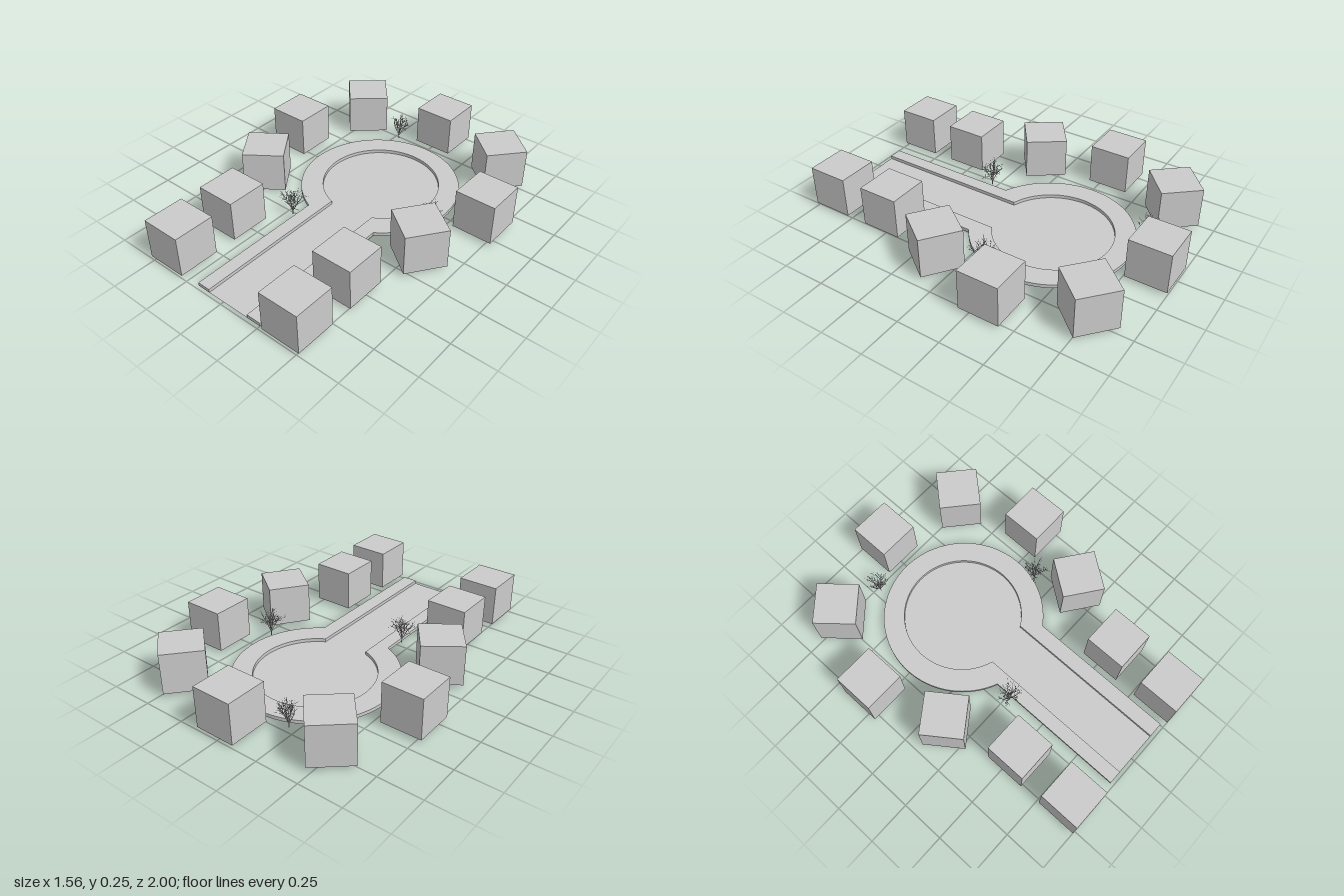
import * as THREE from 'three';
import { mergeGeometries } from 'three/addons/utils/BufferGeometryUtils.js';

const KERB = 0.02; // height of the pavement above the road
const HOUSE = 0.235; // side of each cubic house

// Keyhole outline as [x, z] points: straight street opening into a round turning circle
function keyhole(cx, cz, r, xl, xr, zEnd) {
  const start = Math.asin((xr - cx) / r);
  const end = Math.PI * 2 + Math.asin((xl - cx) / r);
  const pts = [[xr, zEnd]];
  for (let i = 0; i <= 72; i++) {
    const t = start + ((end - start) * i) / 72;
    pts.push([cx + r * Math.sin(t), cz + r * Math.cos(t)]);
  }
  pts.push([xl, zEnd]);
  return pts;
}

// Flat sheet filling an outline at height y
function sheet(pts, y) {
  const shape = new THREE.Shape(pts.map(([x, z]) => new THREE.Vector2(x, -z)));
  return new THREE.ShapeGeometry(shape).rotateX(-Math.PI / 2).translate(0, y, 0);
}

// Vertical band following a closed outline
function band(pts, y0, y1) {
  const pos = [];
  pts.forEach(([ax, az], i) => {
    const [bx, bz] = pts[(i + 1) % pts.length];
    pos.push(ax, y0, az, bx, y0, bz, bx, y1, bz, ax, y0, az, bx, y1, bz, ax, y1, az);
  });
  const g = new THREE.BufferGeometry();
  g.setAttribute('position', new THREE.Float32BufferAttribute(pos, 3));
  g.computeVertexNormals();
  return g;
}

function seeded(seed) {
  return () => {
    seed = (seed * 16807) % 2147483647;
    return seed / 2147483647;
  };
}

// Thin tapered twig between two points
function twig(a, b, r) {
  const dir = b.clone().sub(a);
  const g = new THREE.CylinderGeometry(r * 0.6, r, dir.length(), 3, 1);
  g.applyQuaternion(new THREE.Quaternion().setFromUnitVectors(new THREE.Vector3(0, 1, 0), dir.normalize()));
  const mid = a.clone().add(b).multiplyScalar(0.5);
  return g.translate(mid.x, mid.y, mid.z);
}

// Bare shrub: boughs fan out from one stem and fork twice
function shrubGeometry(seed) {
  const rnd = seeded(seed);
  const parts = [];
  const grow = (from, dir, len, r, level) => {
    const to = from.clone().addScaledVector(dir, len);
    parts.push(twig(from, to, r));
    if (level === 0) return;
    const forks = level === 2 ? 5 : 4;
    for (let i = 0; i < forks; i++) {
      const spread = new THREE.Vector3(rnd() - 0.5, rnd() - 0.42, rnd() - 0.5).multiplyScalar(1.7);
      const at = from.clone().lerp(to, 0.45 + 0.55 * ((i + 1) / forks));
      grow(at, dir.clone().add(spread).normalize(), len * (0.4 + 0.25 * rnd()), r * 0.6, level - 1);
    }
  };
  const base = new THREE.Vector3(0, 0.035, 0);
  parts.push(twig(new THREE.Vector3(0, 0.012, 0), base, 0.004));
  for (let i = 0; i < 8; i++) {
    const a = (i / 8) * Math.PI * 2 + rnd() * 0.5;
    const lean = i % 2 ? 0.5 : 0.22;
    const dir = new THREE.Vector3(Math.cos(a) * lean, 1, Math.sin(a) * lean).normalize();
    grow(base, dir, 0.07 + 0.015 * rnd(), 0.0025, 2);
  }
  return mergeGeometries(parts);
}

export function createModel() {
  const group = new THREE.Group();
  const grey = new THREE.MeshStandardMaterial({ color: 0xcccccc, side: THREE.DoubleSide });
  grey.name = 'plain grey';
  const add = (name, geometry) => {
    const mesh = new THREE.Mesh(geometry, grey);
    mesh.name = name;
    group.add(mesh);
    return mesh;
  };

  // Street with turning circle, and the raised pavement around it
  const outer = keyhole(-0.003, -0.26, 0.459, -0.18, 0.25, 0.98);
  const inner = keyhole(-0.002, -0.267, 0.337, -0.103, 0.163, 0.98);
  const ring = [...outer, ...inner.slice().reverse()];
  add('road', sheet(inner, 0));
  add('pavement', sheet(ring, KERB));
  add('kerbs', band(ring, 0, KERB));

  // Houses: x, z, turn in degrees
  const box = new THREE.BoxGeometry(HOUSE, HOUSE, HOUSE);
  const place = (x, z, turn) => {
    const house = add('house', box);
    house.position.set(x, KERB + HOUSE / 2, z);
    house.rotation.y = THREE.MathUtils.degToRad(turn);
  };
  place(0.016, -0.8825, 0);
  for (const s of [-1, 1]) {
    place(s * 0.487, -0.75, -s * 41);
    place(s * 0.664, -0.315, 0);
    place(s * 0.542, 0.118, -s * 36);
    place(s * 0.399, 0.52, 0);
    place(s * 0.399, 0.8825, 0);
  }

  // Shrubs beside the pavement
  [[-0.213, -0.725], [0.45, -0.117], [-0.2, 0.272]].forEach(([x, z], i) => {
    add('shrub', shrubGeometry(101 + i * 37)).position.set(x, 0, z);
  });
  return group;
}
